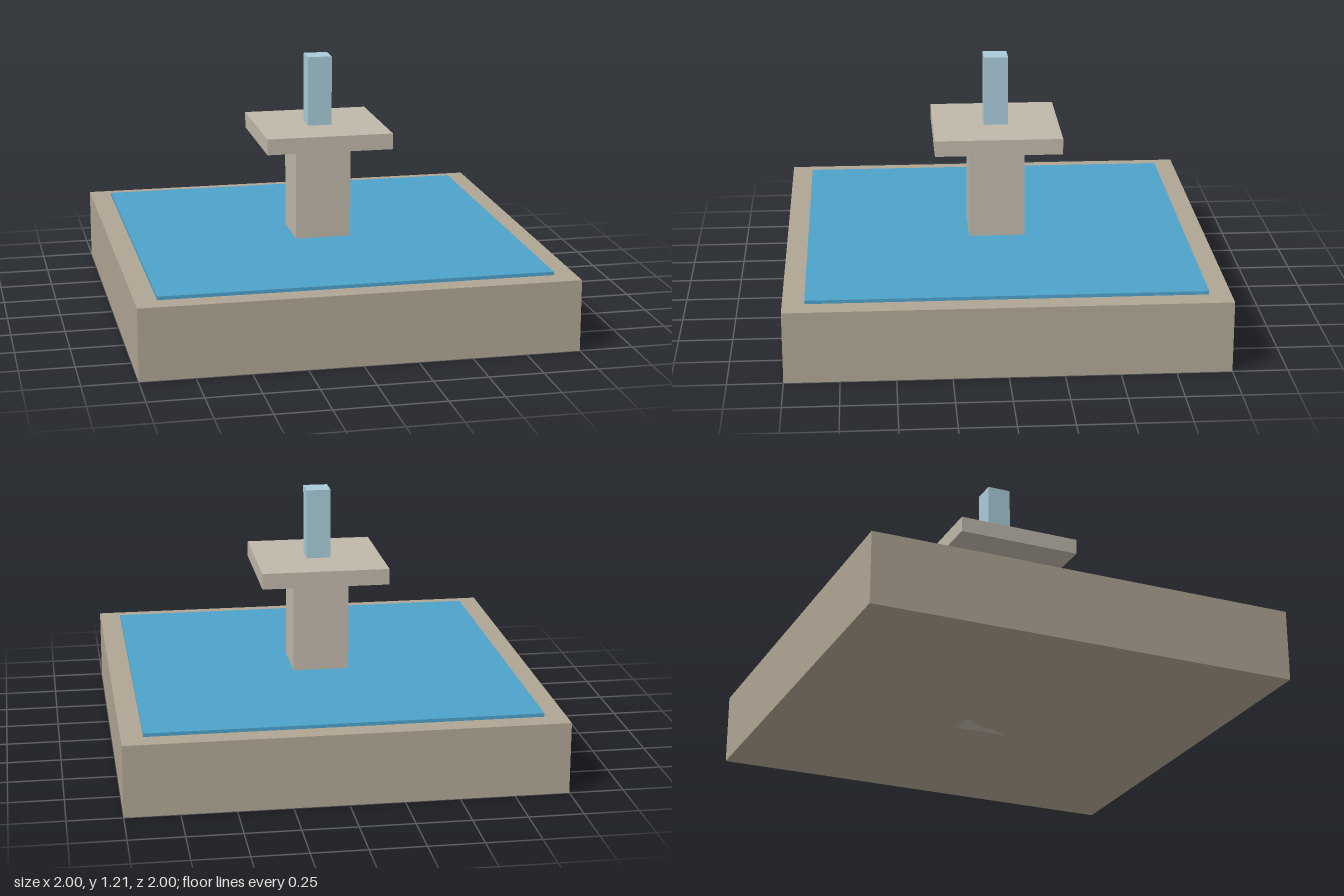
import * as THREE from 'three';

// Square fountain: each part is a square block, given by width and bottom/top heights
export function createModel() {
  const group = new THREE.Group();

  function block(name, width, bottom, top, color) {
    const mesh = new THREE.Mesh(
      new THREE.BoxGeometry(width, top - bottom, width),
      new THREE.MeshStandardMaterial({ color })
    );
    mesh.name = name;
    mesh.position.y = (bottom + top) / 2;
    group.add(mesh);
  }

  block('basin', 2, 0, 0.333, 0xb0a593);
  block('water', 1.8, 0.317, 0.349, 0x4ea3cc);
  // The pillar runs through the basin down to the ground
  block('pillar', 0.264, 0, 0.805, 0xbfb7aa);
  block('upperBowl', 0.596, 0.805, 0.88, 0xbfb7aa);
  block('waterJet', 0.114, 0.88, 1.21, 0xa8cbd8);

  return group;
}
